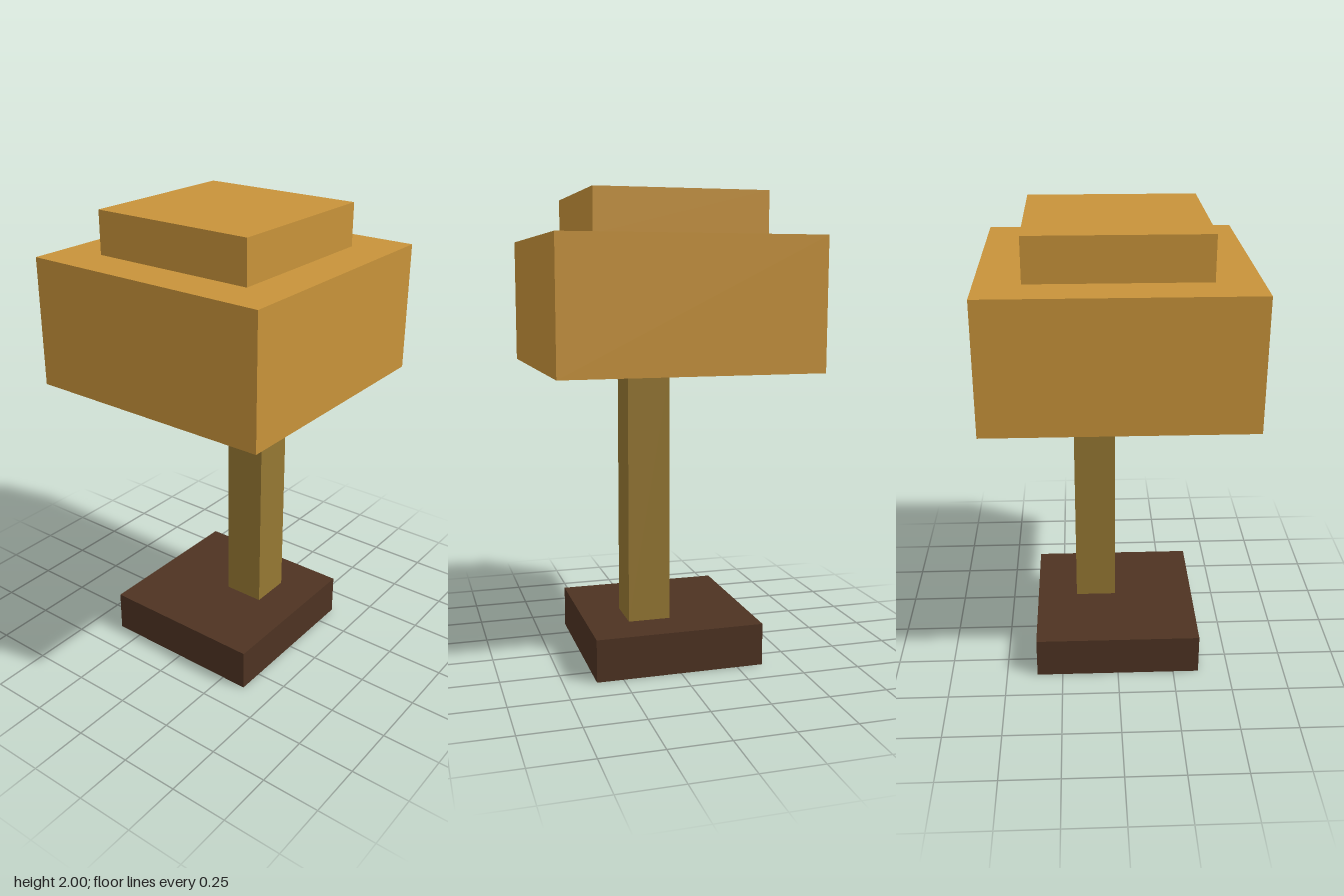
import * as THREE from 'three';

// The lamp sits on a cubic grid, eleven cells tall
const CELL = 2 / 11;

const material = (name, color) => {
  const m = new THREE.MeshStandardMaterial({ color });
  m.name = name;
  return m;
};

export function createModel() {
  const lamp = new THREE.Group();
  lamp.name = 'tableLamp';

  const darkWood = material('darkWood', 0x4e3322);
  const brass = material('brass', 0x967833);
  const amber = material('amber', 0xc8933a);

  // Square block: width, bottom and height in cells, with an optional offset
  const block = (name, mat, width, bottom, height, x = 0, z = 0) => {
    const geometry = new THREE.BoxGeometry(width * CELL, height * CELL, width * CELL);
    const mesh = new THREE.Mesh(geometry, mat);
    mesh.name = name;
    mesh.position.set(x * CELL, (bottom + height / 2) * CELL, z * CELL);
    lamp.add(mesh);
  };

  block('base', darkWood, 4, 0, 1);
  // The pole stands one half cell off centre, to the left and back
  block('pole', brass, 1, 1, 6, 0.5, -0.5);
  block('shade', amber, 6, 7, 3);
  block('shadeCap', amber, 4, 10, 1);

  return lamp;
}
